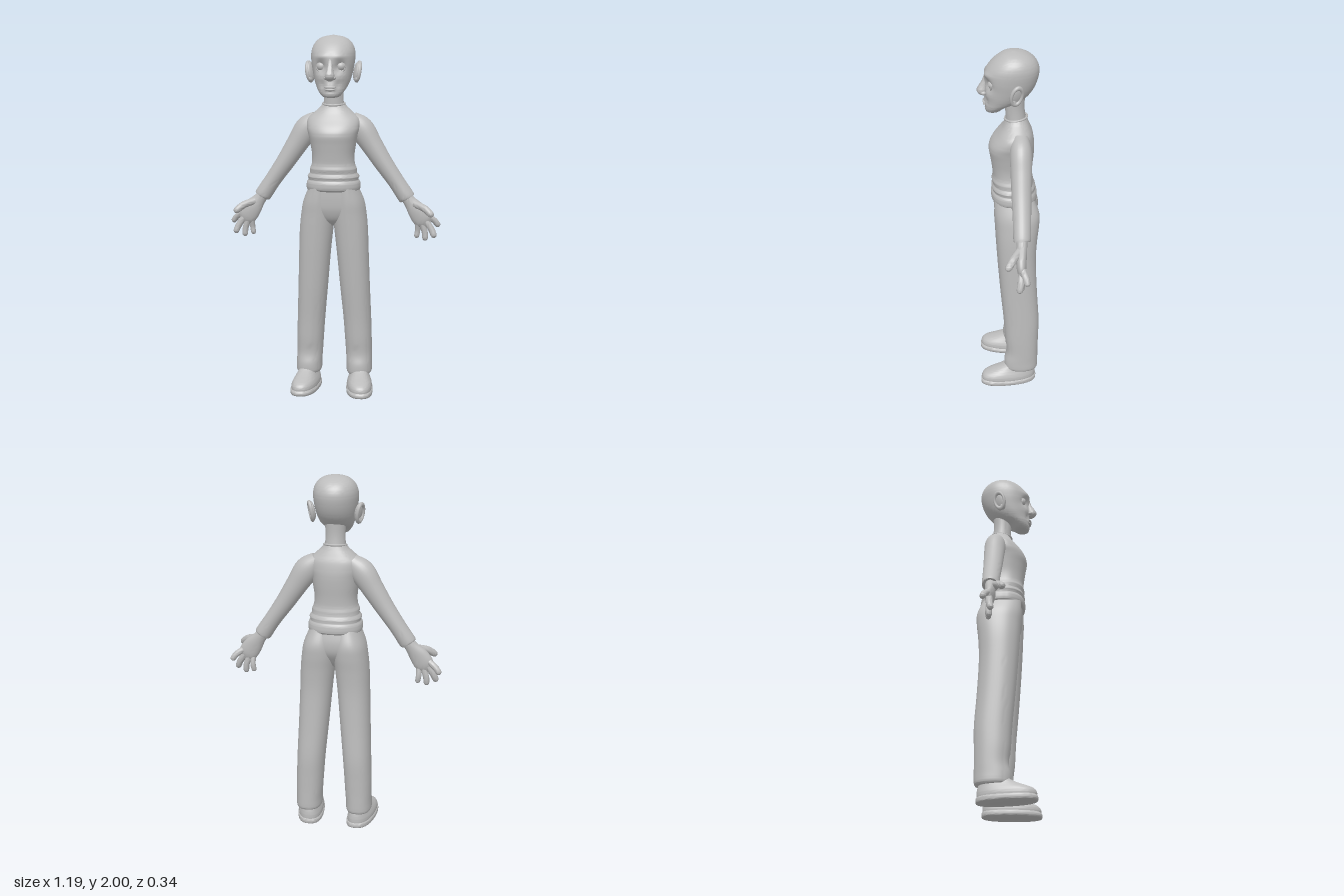
import * as THREE from 'three';
import { toCreasedNormals } from 'three/addons/utils/BufferGeometryUtils.js';

const clay = new THREE.MeshStandardMaterial({ color: 0xbcbcbc });
clay.name = 'clay grey';
const Z = new THREE.Vector3(0, 0, 1), Y = new THREE.Vector3(0, 1, 0);

// Skin smooth elliptical rings along rows of [x, y, z, halfWidth, halfDepth].
function loft(rows, { n = 28, steps = 5, axis = null, power = 2, shape = null } = {}) {
  const centre = new THREE.CatmullRomCurve3(rows.map(r => new THREE.Vector3(r[0], r[1], r[2])), false, 'catmullrom');
  const radius = new THREE.CatmullRomCurve3(rows.map(r => new THREE.Vector3(r[3], r[4], 0)), false, 'catmullrom');
  const count = (rows.length - 1) * steps, pos = [], idx = [];
  const curl = v => Math.sign(v) * Math.abs(v) ** (2 / power);
  for (let j = 0; j <= count; j++) {
    const c = centre.getPoint(j / count), r = radius.getPoint(j / count);
    const t = axis || centre.getTangent(j / count);
    const u = t.clone().cross(Z).normalize(), v = u.clone().cross(t).normalize();
    for (let i = 0; i < n; i++) {
      const a = i / n * Math.PI * 2;
      const p = c.clone().addScaledVector(u, curl(Math.cos(a)) * Math.max(r.x, 0.001))
        .addScaledVector(v, curl(Math.sin(a)) * Math.max(r.y, 0.001));
      if (shape) shape(p);
      pos.push(p.x, p.y, p.z);
      if (j < count) {
        const k = j * n + i, m = j * n + (i + 1) % n;
        idx.push(k, k + n, m, m, k + n, m + n);
      }
    }
  }
  // end caps
  for (const j of [0, count]) {
    const c = centre.getPoint(j / count), k = pos.length / 3;
    if (shape) shape(c);
    pos.push(c.x, c.y, c.z);
    for (let i = 0; i < n; i++) {
      const a = j * n + i, b = j * n + (i + 1) % n;
      idx.push(k, ...(j ? [b, a] : [a, b]));
    }
  }
  const g = new THREE.BufferGeometry();
  g.setAttribute('position', new THREE.Float32BufferAttribute(pos, 3));
  g.setIndex(idx);
  return toCreasedNormals(g, 1);
}

// Horizontal sections given as [y, halfWidth, frontZ, backZ, centreX].
const stack = (rows, opts = {}) => loft(
  rows.map(([y, w, f, b, x = 0]) => [x, y, (f + b) / 2, w, (f - b) / 2]), { axis: Y, ...opts });

const bell = (x, y, cx, cy, rx, ry) => Math.exp(-(((x - cx) / rx) ** 2) - ((y - cy) / ry) ** 2);

export function createModel() {
  const model = new THREE.Group();
  const add = (name, geo, parent = model) => {
    const mesh = new THREE.Mesh(geo, clay);
    mesh.name = name;
    parent.add(mesh);
    return mesh;
  };
  const blob = (name, at, size, parent) => {
    const m = add(name, new THREE.SphereGeometry(1, 24, 16), parent);
    m.position.set(...at);
    m.scale.set(...size);
    return m;
  };

  // Head with eye sockets, brows, cheeks and mouth pushed into the face
  const face = p => {
    if (p.z < 0.04) return;
    const x = Math.abs(p.x), y = p.y;
    p.z += -0.024 * bell(x, y, 0.052, 1.832, 0.027, 0.026)
      + 0.009 * bell(x, y, 0.05, 1.885, 0.034, 0.013)
      + 0.007 * bell(x, y, 0.06, 1.775, 0.025, 0.025)
      - 0.007 * bell(x, y, 0.04, 1.735, 0.012, 0.02)
      + 0.005 * bell(x, y, 0, 1.725, 0.03, 0.02)
      - 0.006 * bell(x, y, 0, 1.702, 0.035, 0.007);
  };
  const head = new THREE.Group();
  head.name = 'headGroup';
  model.add(head);
  add('head', stack([
    [1.667, 0.022, 0.11, 0.075], [1.674, 0.046, 0.123, 0.045], [1.7, 0.069, 0.128, 0.01],
    [1.73, 0.086, 0.128, -0.06], [1.76, 0.098, 0.126, -0.1], [1.8, 0.108, 0.126, -0.13],
    [1.85, 0.117, 0.13, -0.15], [1.9, 0.12, 0.122, -0.157], [1.94, 0.111, 0.094, -0.145],
    [1.97, 0.09, 0.06, -0.118], [1.99, 0.057, 0.025, -0.078], [2.0, 0.004, -0.02, -0.028],
  ], { n: 72, steps: 6, power: 2.1, shape: face }), head);
  add('nose', loft([
    [0, 1.756, 0.128, 0.009, 0.01], [0, 1.765, 0.136, 0.022, 0.022], [0, 1.785, 0.141, 0.026, 0.028],
    [0, 1.81, 0.133, 0.019, 0.025], [0, 1.84, 0.122, 0.014, 0.018], [0, 1.875, 0.114, 0.012, 0.014],
  ], { axis: Y }), head);
  blob('upperLip', [0, 1.724, 0.13], [0.033, 0.007, 0.009], head);
  blob('lowerLip', [0, 1.711, 0.127], [0.027, 0.008, 0.009], head);

  for (const s of [1, -1]) {
    // Eyes and nostrils
    blob('eyeball', [s * 0.052, 1.833, 0.083], [0.025, 0.025, 0.025], head);
    const lid = add('upperEyelid', new THREE.SphereGeometry(0.029, 24, 10, 0, Math.PI * 2, 0, 1.35), head);
    lid.position.set(s * 0.052, 1.833, 0.083);
    lid.rotation.x = 0.15;
    const lower = add('lowerEyelid', new THREE.TorusGeometry(0.025, 0.004, 8, 20, Math.PI), head);
    lower.position.set(s * 0.052, 1.83, 0.094);
    lower.rotation.z = Math.PI;
    blob('nostril', [s * 0.021, 1.774, 0.133], [0.012, 0.011, 0.015], head);

    // Ear: shallow bowl with a rolled rim
    const ear = new THREE.Group();
    ear.name = 'ear';
    ear.position.set(s * 0.128, 1.803, -0.034);
    ear.rotation.set(-0.12, s * 0.4, -s * 0.15);
    head.add(ear);
    blob('earBowl', [-s * 0.004, 0, 0], [0.014, 0.052, 0.034], ear);
    blob('earLobe', [0, -0.04, 0.008], [0.012, 0.018, 0.018], ear);
    const rim = add('earRim', new THREE.TorusGeometry(0.03, 0.008, 10, 32), ear);
    rim.rotation.y = Math.PI / 2;
    rim.scale.set(1, 1.62, 1.3);
    rim.position.x = s * 0.006;
  }

  add('neck', stack([[1.57, 0.062, 0.015, -0.095], [1.63, 0.056, 0.018, -0.087],
    [1.69, 0.054, 0.02, -0.082], [1.77, 0.058, 0.02, -0.085]]));

  // Sweater body with soft folds at the waist
  add('sweater', stack([
    [1.15, 0.138, 0.082, -0.143], [1.162, 0.149, 0.096, -0.152], [1.195, 0.148, 0.098, -0.15],
    [1.212, 0.139, 0.09, -0.142], [1.23, 0.143, 0.096, -0.142], [1.25, 0.13, 0.088, -0.132],
    [1.27, 0.13, 0.094, -0.13], [1.3, 0.119, 0.088, -0.124], [1.35, 0.117, 0.093, -0.126],
    [1.41, 0.126, 0.102, -0.132], [1.46, 0.136, 0.109, -0.135], [1.5, 0.146, 0.094, -0.133],
    [1.545, 0.143, 0.06, -0.125], [1.58, 0.108, 0.035, -0.112], [1.61, 0.075, 0.02, -0.1], [1.628, 0.062, 0.014, -0.093],
  ], { n: 56, power: 2.3 }));
  const collar = add('collar', new THREE.TorusGeometry(0.059, 0.006, 8, 40));
  collar.position.set(0, 1.628, -0.037);
  collar.rotation.x = Math.PI / 2 + 0.12;

  add('trouserSeat', stack([
    [0.95, 0.03, 0, -0.08], [0.985, 0.1, 0.05, -0.11], [1.04, 0.165, 0.075, -0.145],
    [1.1, 0.163, 0.082, -0.153], [1.17, 0.137, 0.083, -0.14],
  ], { n: 48, power: 2.2 }));

  for (const s of [1, -1]) {
    // Trouser leg: [y, inner x, outer x, front z, back z]
    const leg = [
      [0.092, 0.078, 0.212, 0.022, -0.155], [0.105, 0.073, 0.217, 0.03, -0.161], [0.15, 0.072, 0.216, 0.03, -0.162],
      [0.21, 0.068, 0.215, 0.018, -0.162], [0.3, 0.062, 0.214, 0.025, -0.164], [0.42, 0.053, 0.21, 0.032, -0.166],
      [0.6, 0.036, 0.203, 0.048, -0.155], [0.8, 0.018, 0.196, 0.063, -0.147], [0.93, 0.004, 0.191, 0.071, -0.153],
      [1.02, -0.004, 0.182, 0.076, -0.163], [1.09, 0, 0.169, 0.08, -0.163], [1.17, 0.01, 0.136, 0.078, -0.135],
    ];
    // pressed crease down the front
    const crease = p => {
      const mid = s * (0.144 - 0.05 * p.y);
      if (p.z > -0.03 && p.y > 0.25) p.z += 0.004 * bell(p.x, 0, mid, 0, 0.012, 1);
    };
    add('trouserLeg', stack(leg.map(([y, a, b, f, k]) => [y, (b - a) / 2, f, k, s * (a + b) / 2]),
      { n: 44, power: 2.3, shape: crease }));

    // Shoe, toes turned slightly outward
    const splay = p => { p.x += s * (0.152 + 0.11 * p.z); };
    const foot = new THREE.Group();
    foot.name = 'shoe';
    model.add(foot);
    add('sole', stack([[0, 0.07, 0.16, -0.145], [0.004, 0.075, 0.168, -0.152], [0.024, 0.075, 0.168, -0.152],
      [0.03, 0.07, 0.162, -0.147]], { n: 44, power: 2.5, shape: splay }), foot);
    add('shoeUpper', stack([[0.02, 0.07, 0.162, -0.147], [0.045, 0.071, 0.163, -0.148], [0.065, 0.065, 0.148, -0.146],
      [0.08, 0.058, 0.115, -0.143], [0.095, 0.052, 0.075, -0.138], [0.115, 0.046, 0.035, -0.13],
      [0.14, 0.04, 0.005, -0.12]], { n: 44, power: 2.4, shape: splay }), foot);

    // Sleeve from shoulder to cuff
    const side = rows => rows.map(([x, ...rest]) => [s * x, ...rest]);
    add('sleeve', loft(side([
      [0.09, 1.545, -0.056, 0.045, 0.045], [0.15, 1.49, -0.058, 0.068, 0.058], [0.21, 1.4, -0.058, 0.06, 0.056],
      [0.275, 1.3, -0.057, 0.052, 0.052], [0.345, 1.2, -0.057, 0.046, 0.048],
      [0.4, 1.118, -0.056, 0.047, 0.046], [0.409, 1.104, -0.056, 0.043, 0.042],
    ])));

    // Hand with palm forward
    const hand = new THREE.Group();
    hand.name = 'hand';
    model.add(hand);
    add('palm', loft(side([
      [0.39, 1.13, -0.056, 0.032, 0.03], [0.425, 1.085, -0.054, 0.036, 0.028], [0.465, 1.035, -0.05, 0.052, 0.028],
      [0.5, 0.985, -0.05, 0.052, 0.023], [0.522, 0.958, -0.05, 0.025, 0.01],
    ])), hand);
    const fingers = {
      thumb: [[0.452, 1.075, -0.04], [0.505, 1.058, -0.008], [0.556, 1.02, 0.028], 0.02],
      indexFinger: [[0.525, 1.005, -0.055], [0.56, 0.98, -0.07], [0.588, 0.945, -0.08], 0.017],
      middleFinger: [[0.512, 0.985, -0.05], [0.545, 0.935, -0.046], [0.566, 0.888, -0.036], 0.018],
      ringFinger: [[0.49, 0.97, -0.05], [0.508, 0.92, -0.053], [0.513, 0.868, -0.05], 0.017],
      littleFinger: [[0.468, 0.97, -0.05], [0.469, 0.925, -0.06], [0.462, 0.88, -0.058], 0.015],
    };
    for (const [name, [a, b, c, r]] of Object.entries(fingers)) {
      const mix = t => b.map((v, i) => v + (c[i] - v) * t);
      add(name, loft(side([[...a, r, r], [...b, r, r], [...mix(0.7), r * 0.92, r * 0.92],
        [...mix(0.92), r * 0.6, r * 0.6], [...c, 0.002, 0.002]]), { n: 16, steps: 4 }), hand);
    }
  }
  return model;
}
